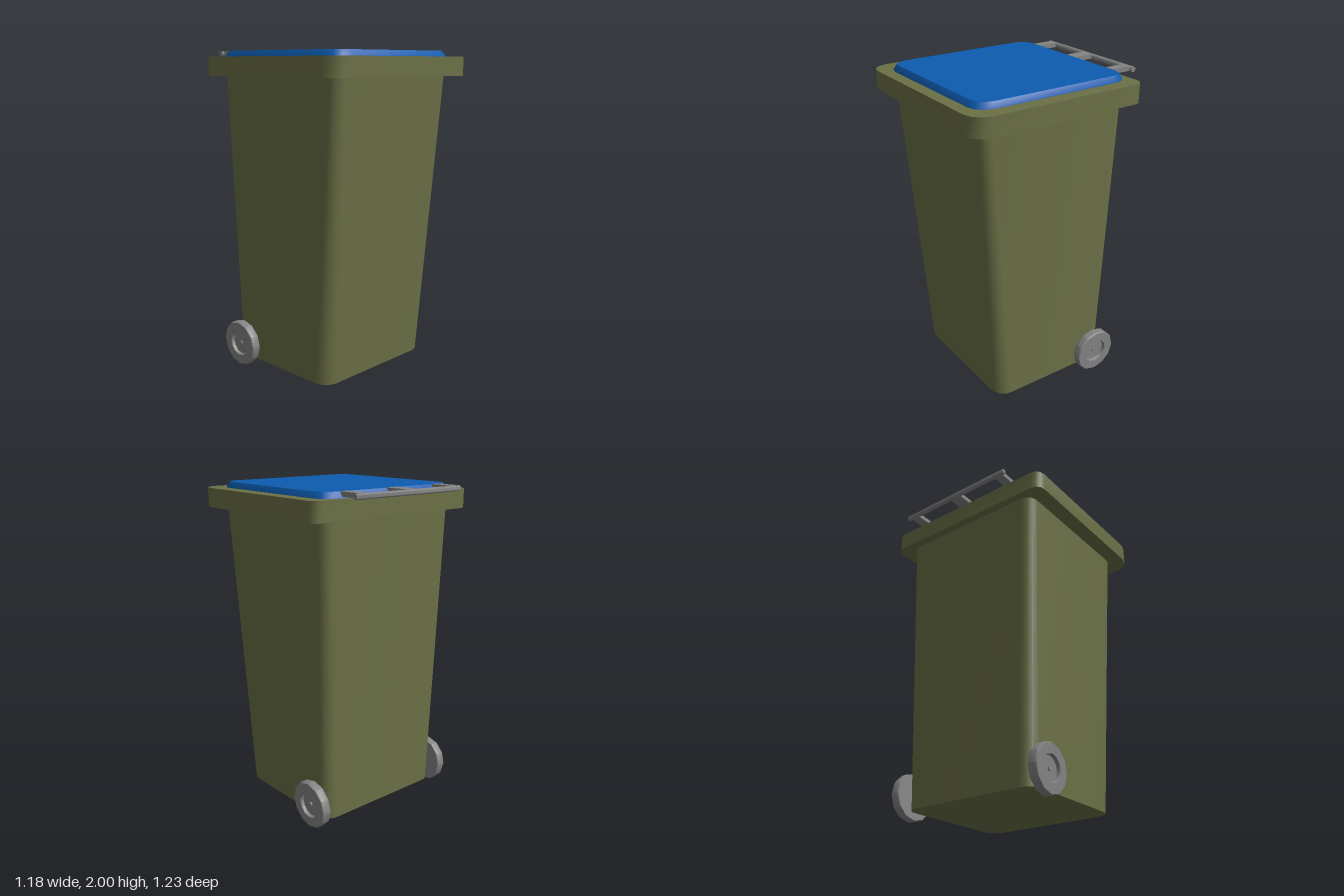
import * as THREE from 'three';
import { toCreasedNormals } from 'three/addons/utils/BufferGeometryUtils.js';

const green = new THREE.MeshStandardMaterial({ color: 0x6b7046 });
green.name = 'olive plastic';
const blue = new THREE.MeshStandardMaterial({ color: 0x0d5cb0 });
blue.name = 'blue lid';
const grey = new THREE.MeshStandardMaterial({ color: 0x848484 });
grey.name = 'grey fittings';

// Rounded rectangle ring at height y, running from +x towards +z
function section({ y, x, back, front, rBack, rFront }, steps) {
  const corners = [
    [x - rFront, front - rFront, rFront, 0],
    [-x + rFront, front - rFront, rFront, 1],
    [-x + rBack, back + rBack, rBack, 2],
    [x - rBack, back + rBack, rBack, 3],
  ];
  const ring = [];
  for (const [cx, cz, r, quarter] of corners) {
    for (let i = 0; i <= steps; i++) {
      const a = (quarter + i / steps) * Math.PI / 2;
      ring.push([cx + r * Math.cos(a), y, cz + r * Math.sin(a)]);
    }
  }
  return ring;
}

// Closed solid skinned through sections listed from bottom to top
function loft(sections, steps) {
  const rings = sections.map((s) => section(s, steps));
  const n = rings[0].length;
  const pos = [];
  const tri = (...p) => p.forEach((v) => pos.push(...v));
  for (let k = 0; k < rings.length - 1; k++) {
    for (let i = 0; i < n; i++) {
      const j = (i + 1) % n;
      const [lo, hi] = [rings[k], rings[k + 1]];
      tri(lo[i], hi[i], lo[j]);
      tri(lo[j], hi[i], hi[j]);
    }
  }
  const bottom = rings[0], top = rings[rings.length - 1];
  for (let i = 0; i < n; i++) {
    const j = (i + 1) % n;
    tri([0, bottom[0][1], 0], bottom[i], bottom[j]);
    tri([0, top[0][1], 0], top[j], top[i]);
  }
  const g = new THREE.BufferGeometry();
  g.setAttribute('position', new THREE.Float32BufferAttribute(pos, 3));
  return toCreasedNormals(g, 0.7);
}

function add(parent, name, geometry, material, x = 0, y = 0, z = 0) {
  const mesh = new THREE.Mesh(geometry, material);
  mesh.name = name;
  mesh.position.set(x, y, z);
  parent.add(mesh);
  return mesh;
}

export function createModel() {
  const model = new THREE.Group();
  model.name = 'wheeledBin';

  // Tapered container
  add(model, 'body', loft([
    { y: 0.05, x: 0.45, back: -0.42, front: 0.39, rBack: 0.08, rFront: 0.09 },
    { y: 1.86, x: 0.495, back: -0.46, front: 0.52, rBack: 0.07, rFront: 0.07 },
  ], 5), green);

  // Overhanging rim
  const rim = { x: 0.592, back: -0.51, front: 0.615, rBack: 0.06, rFront: 0.11 };
  add(model, 'rim', loft([{ y: 1.85, ...rim }, { y: 1.965, ...rim }], 3), green);

  // Bevelled lid
  add(model, 'lid', loft([
    { y: 1.96, x: 0.502, back: -0.48, front: 0.54, rBack: 0.1, rFront: 0.1 },
    { y: 1.972, x: 0.5, back: -0.478, front: 0.538, rBack: 0.1, rFront: 0.1 },
    { y: 2.0, x: 0.483, back: -0.457, front: 0.517, rBack: 0.085, rFront: 0.085 },
  ], 3), blue);

  // Rear handle: bar on three brackets
  const handle = new THREE.Group();
  handle.name = 'handle';
  model.add(handle);
  const bar = new THREE.CylinderGeometry(0.017, 0.017, 0.8, 7).rotateZ(Math.PI / 2);
  add(handle, 'handleBar', toCreasedNormals(bar, 0.95), grey, 0, 1.983, -0.6);
  for (const [x, w] of [[-0.35, 0.06], [0, 0.08], [0.35, 0.06]]) {
    add(handle, 'handleBracket', new THREE.BoxGeometry(w, 0.028, 0.14), grey, x, 1.987, -0.525);
  }

  // Wheels with a recessed hub on the outer face
  const profile = [[0, -0.028], [0.14, -0.028], [0.145, -0.02], [0.145, 0.02], [0.14, 0.028],
    [0.08, 0.028], [0.074, 0.008], [0, 0.008]].map(([r, y]) => new THREE.Vector2(r, y));
  const wheelGeometry = toCreasedNormals(new THREE.LatheGeometry(profile, 12), 0.6);
  for (const side of [-1, 1]) {
    const wheel = add(model, side > 0 ? 'leftWheel' : 'rightWheel', wheelGeometry, grey,
      side * 0.493, 0.148, -0.333);
    wheel.rotation.z = -side * (Math.PI / 2 + 0.03);
  }

  // Axle through the body
  const axle = new THREE.CylinderGeometry(0.014, 0.014, 1.02, 8).rotateZ(Math.PI / 2);
  add(model, 'axle', axle, grey, 0, 0.148, -0.333);

  return model;
}
